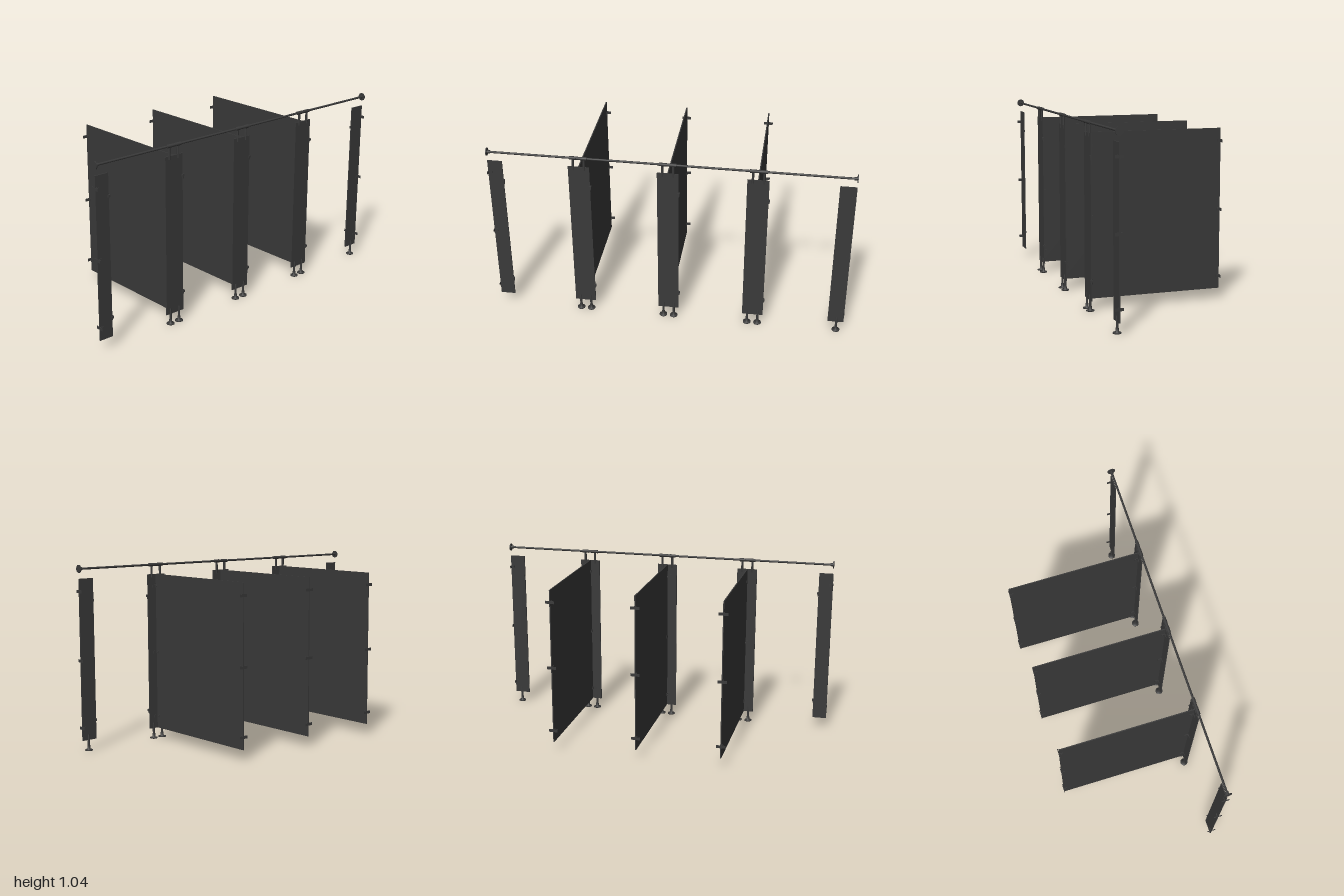
import * as THREE from 'three';

const material = new THREE.MeshStandardMaterial({ color: 0x3a3a3a });
const Z = 0.37; // plane of the front uprights and rail
const BOTTOM = 0.06, TOP = 0.96, THICK = 0.006;
const BRACKET_HEIGHTS = [0.13, 0.508, 0.89];

function mesh(parent, name, geometry, x, y, z) {
  const m = new THREE.Mesh(geometry, material);
  m.name = name;
  m.position.set(x, y, z);
  parent.add(m);
  return m;
}

function box(parent, name, w, h, d, x, y, z) {
  return mesh(parent, name, new THREE.BoxGeometry(w, h, d), x, y, z);
}

function tube(parent, name, radius, length, x, y, z, alongX = false) {
  const m = mesh(parent, name, new THREE.CylinderGeometry(radius, radius, length, 24), x, y, z);
  if (alongX) m.rotation.z = Math.PI / 2;
  return m;
}

// Adjustable foot: base disc, collar and stem clamped to the upright
function foot(x) {
  const g = new THREE.Group();
  g.name = 'foot';
  const profile = [[0, 0], [0.022, 0], [0.022, 0.005], [0.009, 0.008], [0.008, 0.028],
    [0.0065, 0.03], [0.0065, 0.092], [0, 0.092]].map(p => new THREE.Vector2(...p));
  mesh(g, 'footStem', new THREE.LatheGeometry(profile, 24), 0, 0, 0);
  g.position.set(x, 0, Z);
  return g;
}

// Twin hangers joining an upright to a sleeve on the rail
function railHanger(x) {
  const g = new THREE.Group();
  g.name = 'railHanger';
  for (const dx of [-0.03, 0.03]) {
    tube(g, 'hangerStem', 0.0065, 0.072, dx, 0.976, 0);
    tube(g, 'hangerCollar', 0.0095, 0.035, dx, 1.014, 0, true);
  }
  tube(g, 'railSleeve', 0.0085, 0.095, 0, 1.014, 0, true);
  g.position.set(x, 0, Z);
  return g;
}

// T-shaped clip: flange lies against a surface, two cheeks grip the sheet along +z
function bracket() {
  const g = new THREE.Group();
  g.name = 'bracket';
  box(g, 'bracketFlange', 0.052, 0.016, 0.003, 0, 0, 0.0015);
  for (const s of [-1, 1]) {
    box(g, 'bracketCheek', 0.003, 0.016, 0.022, s * 0.0045, 0, 0.012);
    tube(g, 'bracketScrew', 0.003, 0.003, s * 0.007, 0, 0.014, true);
  }
  return g;
}

// Pivot block with a short pin at the door edge of an upright
function hinge(x, y) {
  const g = new THREE.Group();
  g.name = 'hinge';
  box(g, 'hingeBlock', 0.014, 0.013, 0.012, 0, 0, 0.003);
  tube(g, 'hingePin', 0.003, 0.026, 0.002, y > 0.5 ? -0.007 : -0.004, 0.001);
  g.position.set(x, y, Z);
  return g;
}

export function createModel() {
  const model = new THREE.Group();
  model.name = 'cubiclePartitions';

  // Overhead rail with a wall flange at each end
  tube(model, 'rail', 0.006, 1.99, 0, 1.014, Z, true);
  for (const s of [-1, 1]) {
    tube(model, 'railFlange', 0.022, 0.005, s * 0.9975, 1.014, Z, true);
    tube(model, 'railSocket', 0.009, 0.018, s * 0.988, 1.014, Z, true);
  }

  // Front uprights: narrow ones at the walls, wide ones between
  const uprights = [[-1, -0.918], [-0.551, -0.433], [-0.064, 0.054], [0.422, 0.54], [0.91, 1]];
  uprights.forEach(([a, b], i) => {
    box(model, 'frontUpright', b - a, TOP - BOTTOM, THICK, (a + b) / 2, 0.51, Z);
    if (i < 4) for (const y of [0.17, 0.838]) model.add(hinge(b, y));
  });
  for (const y of [0.17, 0.838]) box(model, 'doorStop', 0.004, 0.014, 0.014, 0.913, y, Z - 0.005);
  model.add(foot(0.96));

  // Clips fixing the end uprights to the side walls
  for (const s of [-1, 1]) for (const y of BRACKET_HEIGHTS) {
    const clip = bracket();
    clip.name = 'wallBracket';
    clip.position.set(s, y, Z);
    clip.rotation.y = -s * Math.PI / 2;
    clip.scale.x = 0.9;
    model.add(clip);
  }

  // Dividing panels with their feet, hangers and clips
  for (const x of [-0.492, -0.005, 0.481]) {
    const back = -0.392;
    box(model, 'dividerPanel', THICK, TOP - BOTTOM, Z - back, x, 0.51, (Z + back) / 2);
    model.add(railHanger(x), foot(x - 0.03), foot(x + 0.03));
    for (const y of BRACKET_HEIGHTS) {
      const rear = bracket(), front = bracket();
      rear.position.set(x, y, back - 0.002);
      front.position.set(x, y, Z - THICK / 2);
      front.rotation.y = Math.PI;
      model.add(rear, front);
    }
  }
  return model;
}
